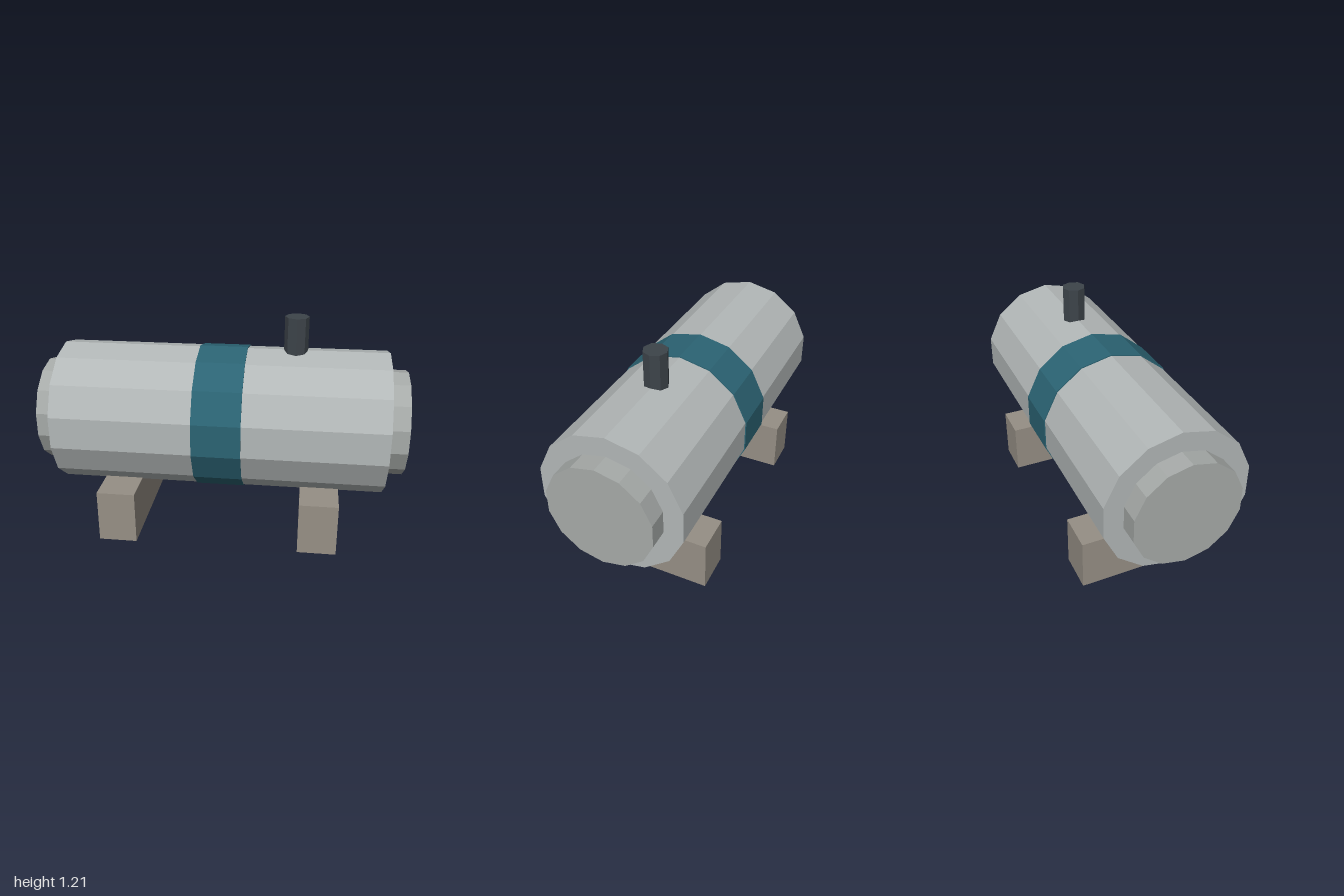
import * as THREE from 'three';

export function createModel() {
  const model = new THREE.Group();
  model.name = 'storageTank';

  const paint = (color) => new THREE.MeshStandardMaterial({ color, flatShading: true });
  const shellGrey = paint(0xb2b7b7);
  const capGrey = paint(0xa6aaa8);
  const teal = paint(0x2b6373);
  const dark = paint(0x3d444a);
  const stone = paint(0x968f85);

  const axisY = 0.634;

  const add = (name, geometry, material, x, y, z = 0) => {
    const mesh = new THREE.Mesh(geometry, material);
    mesh.name = name;
    mesh.position.set(x, y, z);
    model.add(mesh);
  };

  // 14-sided drum lying along x, with a corner at the very top
  const drum = (radius, length) =>
    new THREE.CylinderGeometry(radius, radius, length, 14, 1, false, Math.PI / 2).rotateZ(Math.PI / 2);

  // Tank shell and the coloured band around its middle
  add('tankShell', drum(0.394, 1.79), shellGrey, 0, axisY);
  add('band', drum(0.4, 0.262), teal, 0, axisY);

  // End caps and support blocks, one at each end
  for (const [side, label] of [[1, 'left'], [-1, 'right']]) {
    add(label + 'EndCap', drum(0.289, 0.12), capGrey, side * 0.94, axisY);
    add(label + 'Support', new THREE.BoxGeometry(0.21, 0.292, 0.788), stone, side * 0.552, 0.146);
  }

  // Vent pipe on top, sunk slightly into the shell
  add('ventPipe', new THREE.CylinderGeometry(0.065, 0.065, 0.223, 8), dark, 0.392, 1.1015);

  return model;
}
